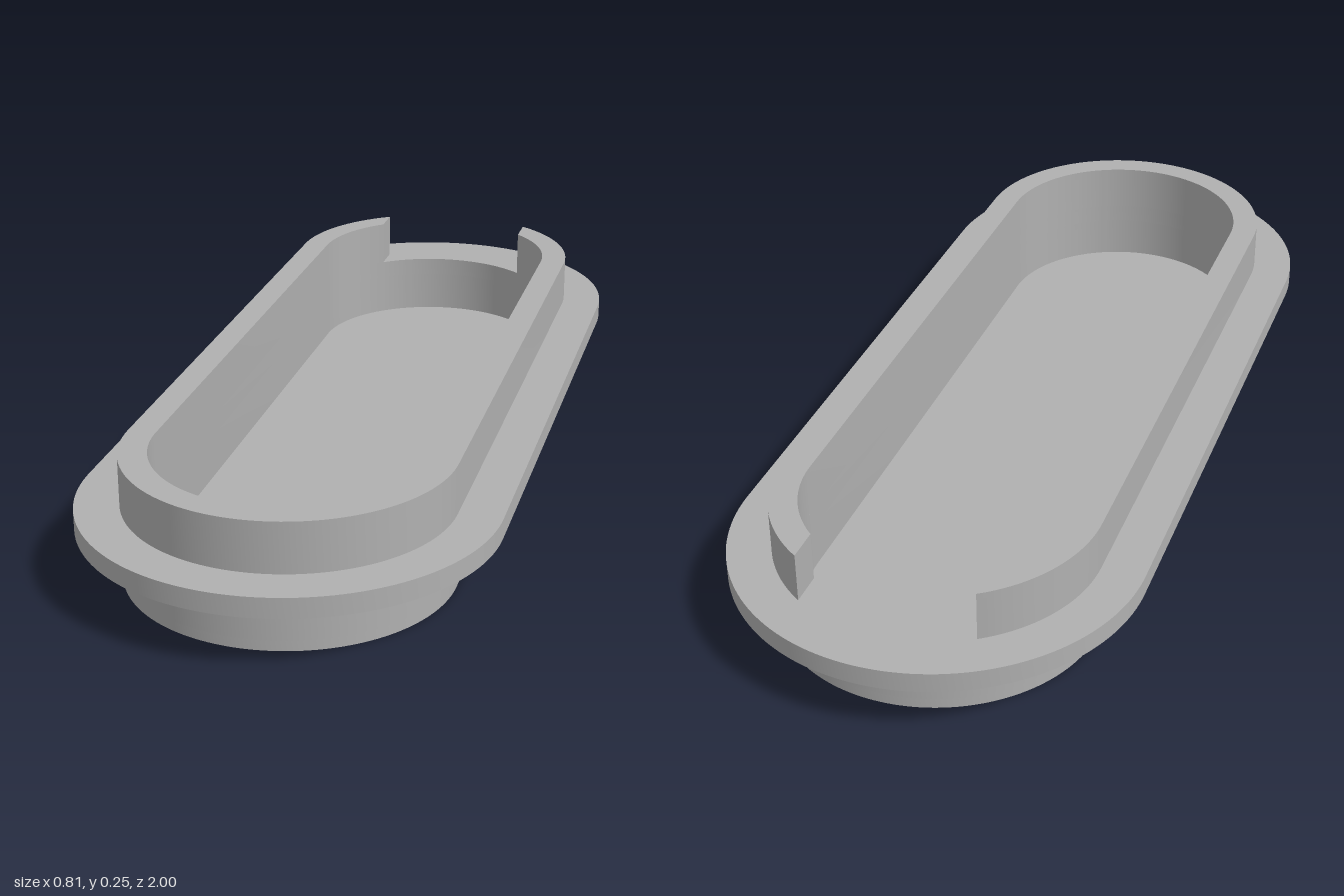
import * as THREE from 'three';
import { toCreasedNormals } from 'three/addons/utils/BufferGeometryUtils.js';

const CENTER = 0.597;      // distance of the end-arc centres from the middle
const FLANGE_R = 0.403;
const OUTER_R = 0.318;
const INNER_R = 0.263;
const NOTCH_HALF = 0.172;  // half width of the gap in the rear of the rim

// Stadium outline: two half circles joined by straight sides
function stadium(path, r) {
  path.absarc(0, CENTER, r, 0, Math.PI, false);
  path.absarc(0, -CENTER, r, Math.PI, 2 * Math.PI, false);
  path.closePath();
  return path;
}

function ring(outer, inner) {
  const shape = stadium(new THREE.Shape(), outer);
  shape.holes.push(stadium(new THREE.Path(), inner));
  return shape;
}

// Stadium ring left open at the rear, with gap faces parallel to z
function openRing(outer, inner) {
  const a = Math.acos(NOTCH_HALF / outer);
  const b = Math.acos(NOTCH_HALF / inner);
  const s = new THREE.Shape();
  s.absarc(0, CENTER, outer, a, 0, true);
  s.absarc(0, -CENTER, outer, 0, -Math.PI, true);
  s.absarc(0, CENTER, outer, Math.PI, Math.PI - a, true);
  s.absarc(0, CENTER, inner, Math.PI - b, Math.PI, false);
  s.absarc(0, -CENTER, inner, Math.PI, 2 * Math.PI, false);
  s.absarc(0, CENTER, inner, 0, b, false);
  s.closePath();
  return s;
}

export function createModel() {
  const group = new THREE.Group();
  group.name = 'recessedTray';
  const grey = new THREE.MeshStandardMaterial({ color: 0xb0b0b0 });
  grey.name = 'plain grey';

  function addSlab(name, shape, y0, y1) {
    const geo = new THREE.ExtrudeGeometry(shape, {
      depth: y1 - y0, bevelEnabled: false, curveSegments: 40,
    });
    geo.rotateX(-Math.PI / 2);
    geo.translate(0, y0, 0);
    const mesh = new THREE.Mesh(toCreasedNormals(geo, Math.PI / 6), grey);
    mesh.name = name;
    group.add(mesh);
  }

  addSlab('floor', stadium(new THREE.Shape(), OUTER_R), 0, 0.02);
  addSlab('lowerWall', ring(OUTER_R, INNER_R), 0.02, 0.11);
  addSlab('flange', ring(FLANGE_R, INNER_R), 0.11, 0.15);
  addSlab('notchedRim', openRing(OUTER_R, INNER_R), 0.15, 0.25);
  return group;
}
